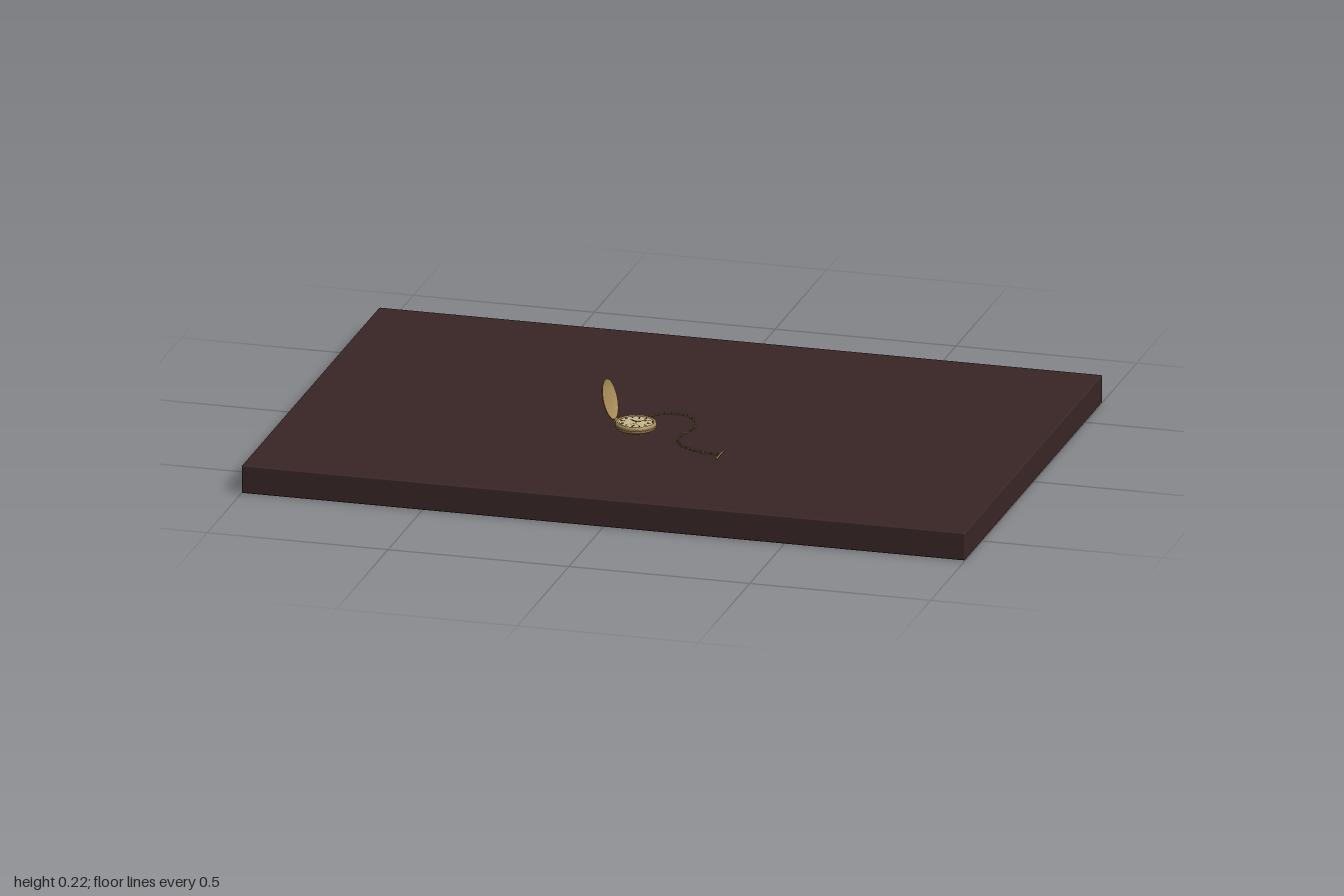
import * as THREE from 'three';
import { RoundedBoxGeometry } from 'three/addons/geometries/RoundedBoxGeometry.js';

const mat = (name, color, side = THREE.FrontSide) => {
  const m = new THREE.MeshStandardMaterial({ color, side });
  m.name = name;
  return m;
};

export function createModel() {
  const wood = mat('dark wood', 0x3a2626);
  const gold = mat('antique gold', 0xa88c58, THREE.DoubleSide);
  const cream = mat('dial cream', 0xcbb78c);
  const ink = mat('dial ink', 0x1c1714);

  const model = new THREE.Group();
  const add = (parent, name, geometry, material, x = 0, y = 0, z = 0) => {
    const mesh = new THREE.Mesh(geometry, material);
    mesh.name = name;
    mesh.position.set(x, y, z);
    parent.add(mesh);
    return mesh;
  };
  const lathe = (points, segments = 48) =>
    new THREE.LatheGeometry(points.map(([r, y]) => new THREE.Vector2(r, y)), segments);

  // Table top
  const TOP = 0.078;
  add(model, 'tableTop', new RoundedBoxGeometry(2, TOP, 1.334, 2, 0.004), wood, 0, TOP / 2, 0);

  // Watch body, resting on the table; twelve o'clock points to -z
  const watch = new THREE.Group();
  watch.name = 'watch';
  watch.position.set(-0.068, TOP, 0.112);
  model.add(watch);

  add(watch, 'case', lathe([
    [0, 0.001], [0.03, 0.002], [0.044, 0.006], [0.052, 0.01], [0.055, 0.014],
    [0.055, 0.022], [0.054, 0.027], [0.05, 0.0285], [0.0475, 0.026], [0.047, 0.024],
  ]), gold);
  add(watch, 'caseBand', new THREE.TorusGeometry(0.0545, 0.0015, 6, 48), gold, 0, 0.018, 0).rotation.x = Math.PI / 2;
  add(watch, 'dial', new THREE.CylinderGeometry(0.048, 0.048, 0.002, 48), cream, 0, 0.0245, 0);

  // Hour marks and minute dots
  const DIAL = 0.026;
  for (let i = 0; i < 60; i++) {
    const a = (i / 60) * Math.PI * 2;
    const hour = i % 5 === 0;
    const r = hour ? 0.0365 : 0.0445;
    const size = hour ? [0.0034, 0.0006, i % 15 === 0 ? 0.011 : 0.009] : [0.0007, 0.0006, 0.002];
    const mark = add(watch, hour ? 'hourMark' : 'minuteMark', new THREE.BoxGeometry(...size), ink,
      Math.sin(a) * r, DIAL, -Math.cos(a) * r);
    mark.rotation.y = -a;
  }

  // Small seconds ring
  add(watch, 'secondsRing', new THREE.RingGeometry(0.0083, 0.0093, 24), ink, 0, DIAL, 0.019).rotation.x = -Math.PI / 2;

  // Hands, each a slim tapering plate
  const hand = (name, length, width, angle, z = 0) => {
    const s = new THREE.Shape([
      new THREE.Vector2(-width * 0.4, -length * 0.15), new THREE.Vector2(width * 0.4, -length * 0.15),
      new THREE.Vector2(width, length * 0.65), new THREE.Vector2(0, length), new THREE.Vector2(-width, length * 0.65),
    ]);
    const g = new THREE.ExtrudeGeometry(s, { depth: 0.0006, bevelEnabled: false });
    g.rotateX(-Math.PI / 2);
    add(watch, name, g, ink, 0, DIAL + 0.001, z).rotation.y = -angle;
  };
  hand('hourHand', 0.023, 0.0018, -0.95);
  hand('minuteHand', 0.034, 0.0013, 1.05);
  hand('secondHand', 0.008, 0.0005, 2.4, 0.019);
  add(watch, 'handPin', new THREE.CylinderGeometry(0.002, 0.002, 0.004, 12), gold, 0, DIAL + 0.001, 0);

  // Pendant, winding crown and bow
  const pendant = add(watch, 'pendant', new THREE.CylinderGeometry(0.0045, 0.006, 0.01, 16), gold, 0, 0.016, -0.057);
  pendant.rotation.x = -Math.PI / 2;
  const crown = add(watch, 'crown', new THREE.CylinderGeometry(0.0075, 0.0075, 0.009, 16), gold, 0, 0.016, -0.066);
  crown.rotation.x = -Math.PI / 2;
  const bow = add(watch, 'bow', new THREE.TorusGeometry(0.0115, 0.0017, 6, 24), gold, 0, 0.013, -0.07);
  bow.rotation.x = Math.PI / 2 - 0.2;

  // Hinge and open lid, its dome facing outwards to -x
  const hinge = add(watch, 'hinge', new THREE.CylinderGeometry(0.003, 0.003, 0.024, 12), gold, -0.056, 0.026, 0);
  hinge.rotation.x = Math.PI / 2;
  const lid = add(watch, 'lid', lathe([
    [0, 0.0075], [0.02, 0.007], [0.036, 0.0052], [0.047, 0.003], [0.0545, -0.001],
    [0.0555, -0.003], [0.0535, -0.003], [0.046, 0.0012], [0.035, 0.0035], [0.02, 0.0053], [0, 0.006],
  ]), gold, -0.073, 0.083, 0);
  lid.rotation.z = THREE.MathUtils.degToRad(106);

  // Chain lying in an S on the table
  const path = new THREE.CatmullRomCurve3([
    [-0.068, 0.032], [-0.062, -0.005], [-0.035, -0.034], [0.006, -0.043], [0.048, -0.024], [0.072, 0.018],
    [0.074, 0.07], [0.058, 0.137], [0.08, 0.196], [0.135, 0.233], [0.2, 0.245],
  ].map(([x, z]) => new THREE.Vector3(x, TOP + 0.0045, z)));
  const chain = new THREE.Group();
  chain.name = 'chain';
  model.add(chain);
  const link = new THREE.TorusGeometry(0.0036, 0.0011, 5, 10);
  link.scale(1.5, 1, 1);
  const count = Math.round(path.getLength() / 0.0082);
  for (let i = 0; i <= count; i++) {
    const p = path.getPointAt(i / count);
    const t = path.getTangentAt(i / count);
    const mesh = add(chain, 'chainLink', link, gold, p.x, p.y, p.z);
    mesh.rotation.set((i % 2 ? 1 : -1) * Math.PI / 4, Math.atan2(-t.z, t.x), 0, 'YXZ');
  }

  // Crossbar at the chain's end
  const bar = add(chain, 'crossbar', new THREE.CylinderGeometry(0.0023, 0.0023, 0.05, 10), gold, 0.203, TOP + 0.0045, 0.248);
  bar.rotation.x = Math.PI / 2;
  for (const s of [-1, 1]) {
    add(chain, 'crossbarKnob', new THREE.SphereGeometry(0.0036, 10, 8), gold, 0.203, TOP + 0.0045, 0.248 + s * 0.026);
  }
  return model;
}
